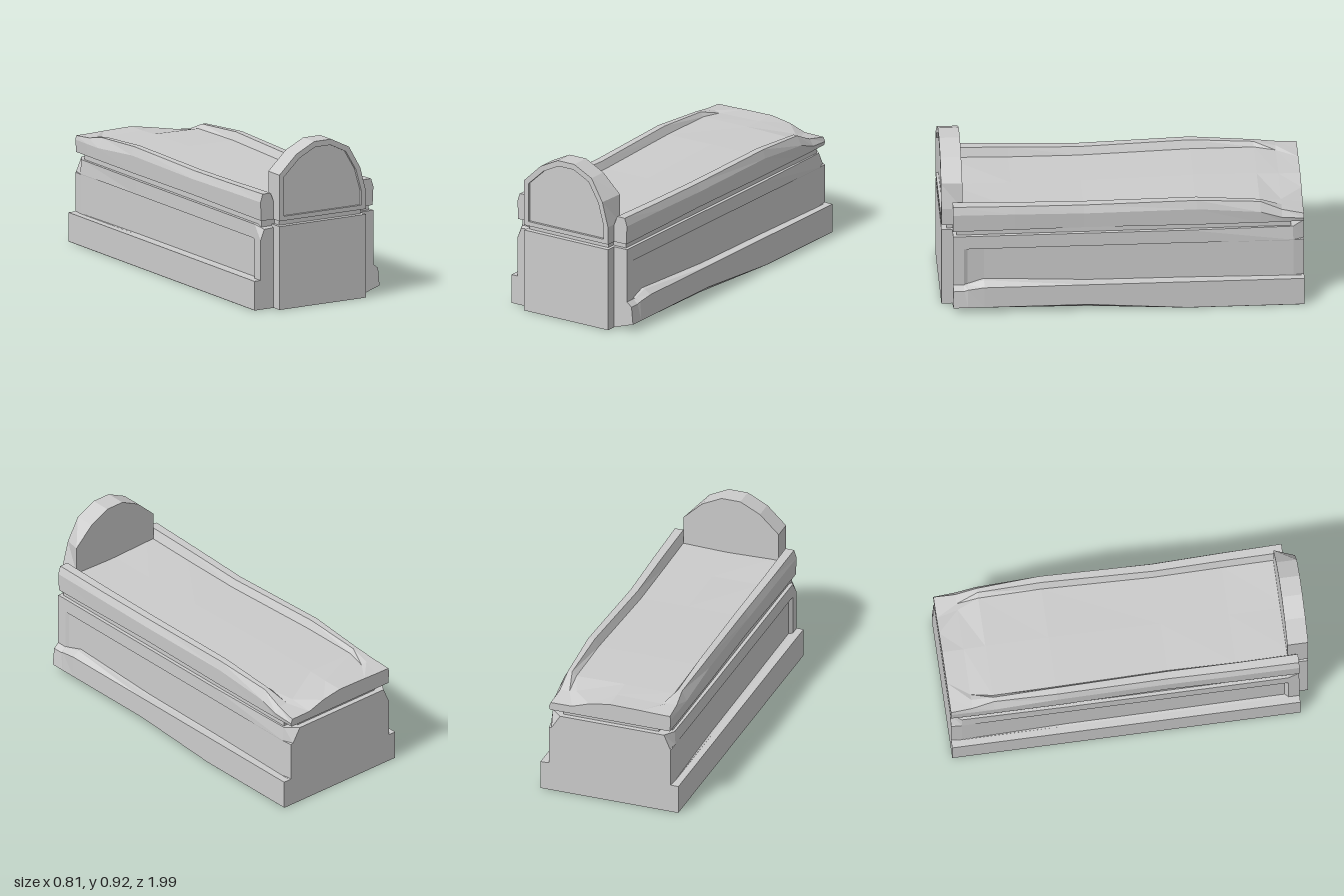
import * as THREE from 'three';

const material = new THREE.MeshStandardMaterial({ color: 0xcccccc, flatShading: true });

function addMesh(group, name, geometry) {
  const mesh = new THREE.Mesh(geometry, material);
  mesh.name = name;
  group.add(mesh);
  return mesh;
}

function addBox(group, name, w, y0, y1, z0, z1) {
  const mesh = addMesh(group, name, new THREE.BoxGeometry(w, y1 - y0, z1 - z0));
  mesh.position.set(0, (y0 + y1) / 2, (z0 + z1) / 2);
}

// Skin closed loops of [x, y, z], counter-clockwise from the front, ordered back to front
function loft(loops, capBack = true, capFront = true) {
  const n = loops[0].length, index = [];
  for (let s = 0; s < loops.length - 1; s++) {
    for (let i = 0; i < n; i++) {
      const j = (i + 1) % n, a = s * n + i, b = s * n + j;
      index.push(a, b, b + n, a, b + n, a + n);
    }
  }
  const cap = (s, flip) => {
    const contour = loops[s].map(([x, y]) => new THREE.Vector2(x, y));
    for (const [a, b, c] of THREE.ShapeUtils.triangulateShape(contour, [])) {
      const o = s * n;
      index.push(o + a, o + (flip ? c : b), o + (flip ? b : c));
    }
  };
  if (capBack) cap(0, true);
  if (capFront) cap(loops.length - 1, false);
  const geometry = new THREE.BufferGeometry();
  geometry.setAttribute('position', new THREE.Float32BufferAttribute(loops.flat(2), 3));
  geometry.setIndex(index);
  const flat = geometry.toNonIndexed();
  flat.computeVertexNormals();
  return flat;
}

// Join a right half and a left half (both bottom to top, x positive) into one loop
const section = (z, right, left, topY) => [
  ...right.map(([x, y]) => [x, y, z]),
  [0, topY, z],
  ...left.map(([x, y]) => [-x, y, z]).reverse(),
];

// Chest: stepped plinth, side panel recess and top band
function chestHalf({ bx = 0.403, by = 0.002, lx = 0.405, ly = 0.165, iy = 0.165, panel = 0.365, tx = 0.365, ty = 0.47, my = 0.39, mx = 0.365 }) {
  return [
    [bx, 0], [0.405, by], [lx, ly], [0.365, iy],
    [panel, iy + 0.002], [panel, my - 0.004], [mx, my], [tx, ty],
  ];
}

function chestGeometry() {
  const stations = [
    [-0.99, { tx: 0.29, mx: 0.34, panel: 0.355 }, { tx: 0.32, mx: 0.355, panel: 0.36 }],
    [-0.93, { tx: 0.355, panel: 0.364 }, { tx: 0.36, panel: 0.364 }],
    [-0.35, { panel: 0.355 }, { panel: 0.352 }],
    [0.2, { panel: 0.35, bx: 0.35, by: 0.04 }, { panel: 0.35 }],
    [0.77, { panel: 0.347, bx: 0.3, by: 0.04, iy: 0.19 }, { panel: 0.347 }],
    [0.86, { panel: 0.355, bx: 0.29, by: 0.04, lx: 0.4, ly: 0.15 }, { panel: 0.347 }],
    [0.88, { bx: 0.285, by: 0.04, lx: 0.395, ly: 0.14 }, {}],
    [0.94, { bx: 0.28, by: 0.04, lx: 0.395, ly: 0.14 }, { tx: 0.34, ty: 0.45 }],
  ];
  return loft(stations.map(([z, r, l]) => section(z, chestHalf(r), chestHalf(l), 0.47)));
}

// Lid: raised rims either side of a sunken slab, worn away at the foot
// each half: [outer x, outer y, rim outer x, rim inner x, rim y, slab edge x, slab y]
function lidHalf([ox, oy, ro, ri, ry, sx, sy]) {
  return [[ox - 0.005, 0.5], [ox, oy], [ro, ry], [ri, ry + 0.001], [sx, sy]];
}

function lidGeometry() {
  const same = (z, top, h) => [z, top, h, h];
  const stations = [
    [-0.99, 0.6, [0.355, 0.52, 0.345, 0.22, 0.545, 0.12, 0.58], [0.36, 0.57, 0.355, 0.27, 0.593, 0.18, 0.597]],
    [-0.87, 0.6, [0.36, 0.53, 0.335, 0.28, 0.567, 0.24, 0.577], [0.362, 0.57, 0.35, 0.3, 0.603, 0.265, 0.594]],
    [-0.75, 0.605, [0.362, 0.57, 0.335, 0.31, 0.622, 0.285, 0.6], [0.362, 0.57, 0.335, 0.31, 0.626, 0.29, 0.603]],
    same(-0.4, 0.608, [0.363, 0.6, 0.348, 0.31, 0.648, 0.288, 0.605]),
    same(0.22, 0.595, [0.355, 0.59, 0.338, 0.295, 0.634, 0.275, 0.593]),
    same(0.6, 0.592, [0.362, 0.6, 0.346, 0.3, 0.642, 0.28, 0.592]),
    same(0.94, 0.592, [0.365, 0.605, 0.35, 0.3, 0.65, 0.28, 0.6]),
  ];
  return loft(stations.map(([z, top, r, l]) => section(z, lidHalf(r), lidHalf(l), top)));
}

// Headstone: arched slab, one front edge chipped, with a sunken face panel
function headstoneGeometry() {
  const arch = [[0.17, 0.865], [0.055, 0.922], [-0.055, 0.922], [-0.17, 0.865], [-0.28, 0.76], [-0.28, 0.5]];
  const back = [[0.28, 0.5], [0.28, 0.6], [0.28, 0.76], ...arch];
  const front = [[0.28, 0.5], [0.28, 0.6], [0.242, 0.74], ...arch];
  const panel = [
    [0.25, 0.525], [0.25, 0.605], [0.215, 0.73], [0.15, 0.84], [0.05, 0.89],
    [-0.05, 0.89], [-0.15, 0.84], [-0.25, 0.747], [-0.25, 0.525],
  ];
  const at = (points, z) => points.map(([x, y]) => [x, y, z]);
  return loft([at(back, 0.885), at(front, 1), at(panel, 1), at(panel, 0.985)]);
}

export function createModel() {
  const model = new THREE.Group();
  model.name = 'stoneTomb';

  addMesh(model, 'chest', chestGeometry());
  addMesh(model, 'lid', lidGeometry());
  // Recessed neck between chest and lid
  addBox(model, 'neck', 0.69, 0.46, 0.51, -0.92, 0.92);
  addBox(model, 'footNeck', 0.56, 0.46, 0.51, -0.96, -0.9);

  // Head end pillar
  addBox(model, 'pillar', 0.56, 0, 0.47, 0.885, 1);
  addBox(model, 'pillarNeck', 0.525, 0.46, 0.51, 0.885, 0.97);
  addMesh(model, 'headstone', headstoneGeometry());
  return model;
}
